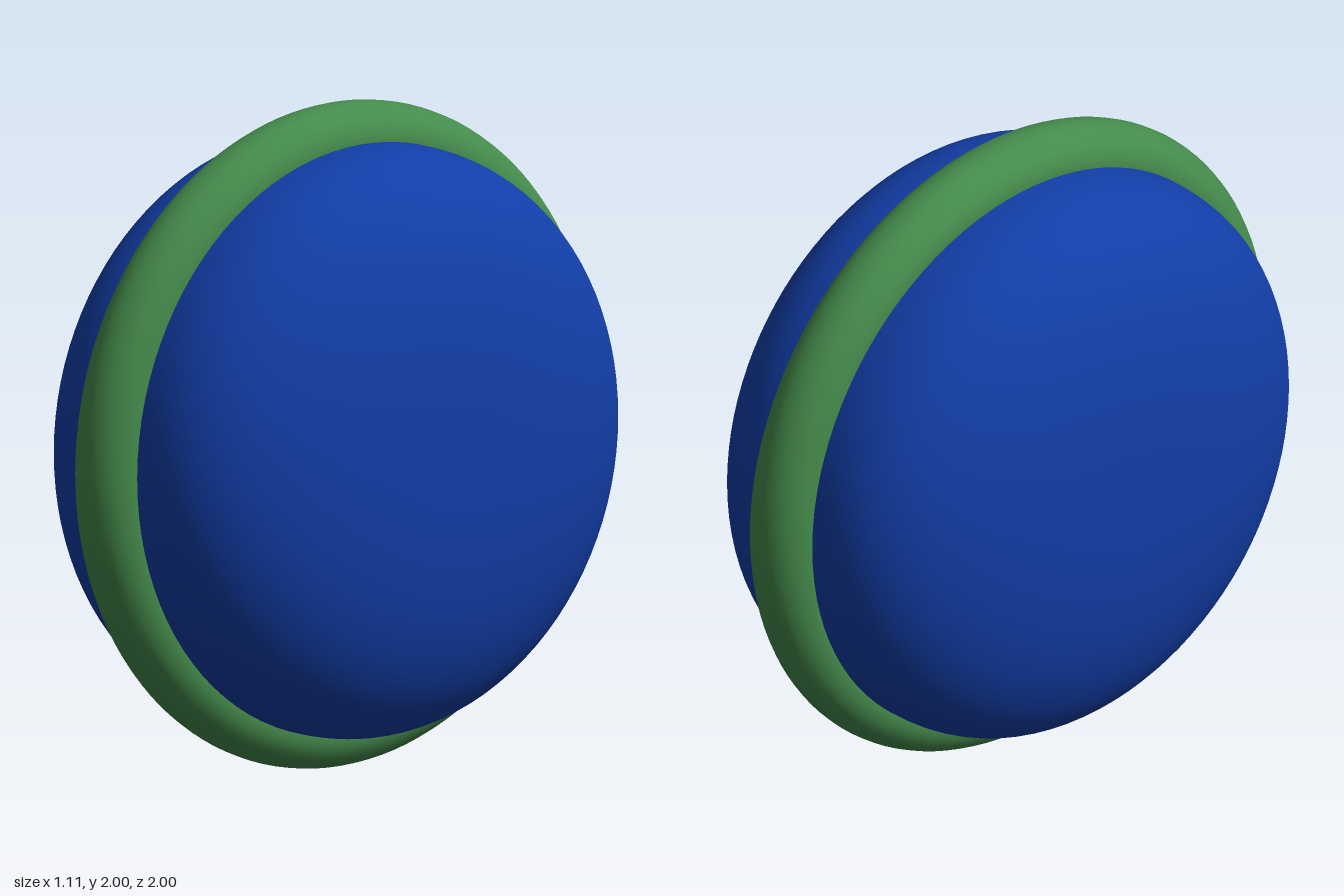
import * as THREE from 'three';

export function createModel() {
  const group = new THREE.Group();
  const radius = 0.89, shoulder = 0.11, halfWidth = 0.555;

  // Rounded half profile, from the rim shoulder to the flat cap centre
  const steps = 32, power = 2 / 2.5, half = [];
  for (let i = 0; i <= steps; i++) {
    const a = (i / steps) * Math.PI / 2;
    const r = i === steps ? 0 : radius * Math.pow(Math.cos(a), power);
    half.push(new THREE.Vector2(r, shoulder + (halfWidth - shoulder) * Math.pow(Math.sin(a), power)));
  }
  const mirrored = half.map(p => new THREE.Vector2(p.x, -p.y)).reverse();

  // Bulging body, turned about the x axis
  const body = new THREE.Mesh(
    new THREE.LatheGeometry([...mirrored, ...half], 96),
    new THREE.MeshStandardMaterial({ color: 0x123ea8 })
  );
  body.name = 'body';
  body.rotation.z = -Math.PI / 2;
  body.position.y = 1;
  group.add(body);

  // Round band around the middle
  const band = new THREE.Mesh(
    new THREE.TorusGeometry(radius, 0.11, 32, 128),
    new THREE.MeshStandardMaterial({ color: 0x458b4c })
  );
  band.name = 'band';
  band.rotation.y = Math.PI / 2;
  band.position.y = 1;
  group.add(band);

  return group;
}
